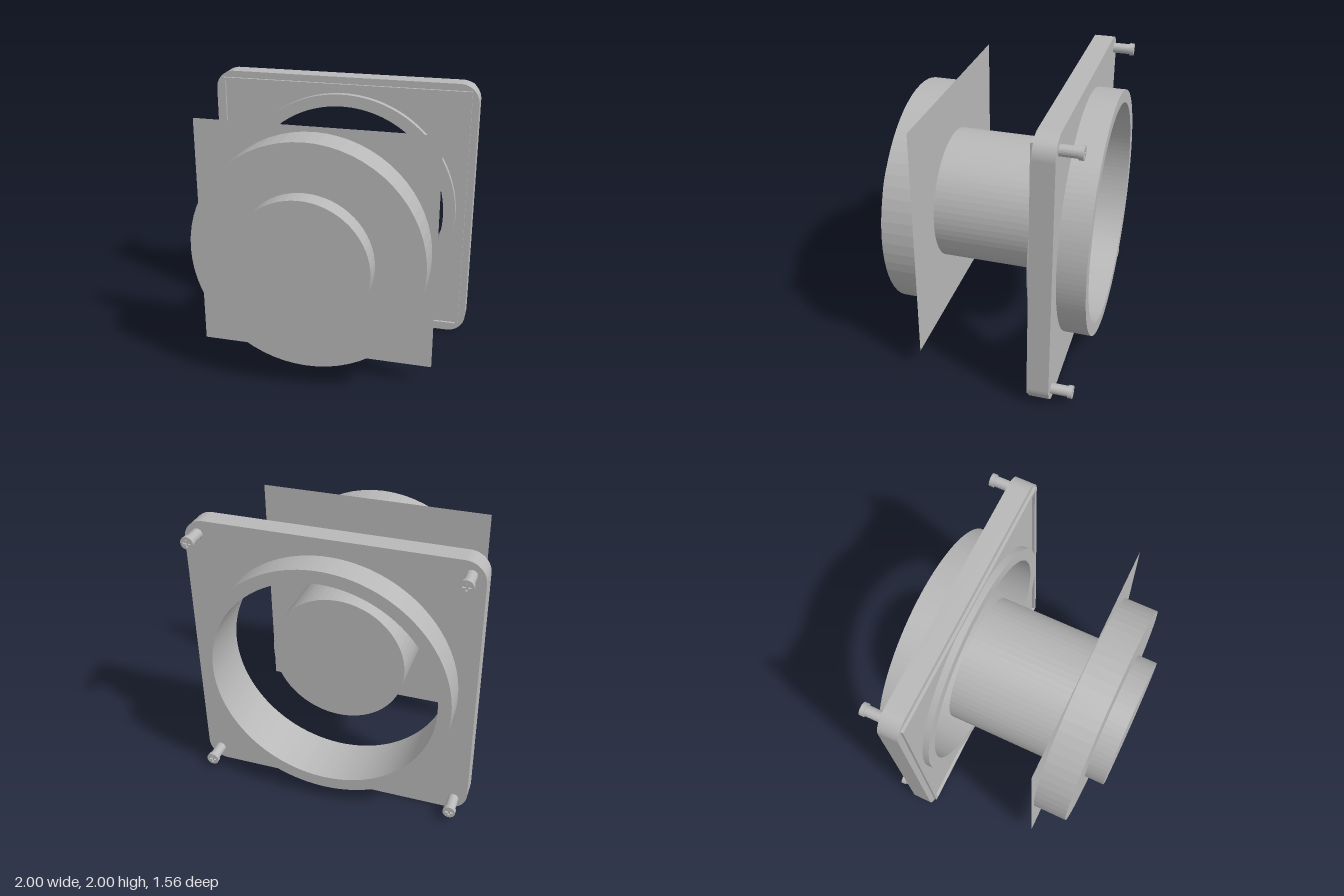
import * as THREE from 'three';

export function createModel() {
  const model = new THREE.Group();
  const grey = new THREE.MeshStandardMaterial({ color: 0xb8b8b8 });
  grey.name = 'grey';
  grey.flatShading = true;
  const sheet = new THREE.MeshStandardMaterial({ color: 0xb8b8b8, side: THREE.DoubleSide });
  sheet.name = 'grey sheet';

  const add = (name, geometry, x = 0, y = 1, z = 0, material = grey) => {
    const mesh = new THREE.Mesh(geometry, material);
    mesh.name = name;
    mesh.position.set(x, y, z);
    model.add(mesh);
    return mesh;
  };
  // Solid cylinder along z between two depths
  const rod = (name, r, z0, z1, x = 0, y = 1, sides = 64) =>
    add(name, new THREE.CylinderGeometry(r, r, z1 - z0, sides).rotateX(Math.PI / 2), x, y, (z0 + z1) / 2);
  // Extruded outline between two depths
  const slab = (name, shape, z0, z1, x = 0, y = 1) =>
    add(name, new THREE.ExtrudeGeometry(shape, { depth: z1 - z0, bevelEnabled: false, curveSegments: 64 }), x, y, z0);

  const circle = (r, Type = THREE.Shape) => new Type().absarc(0, 0, r, 0, Math.PI * 2, false);
  const square = (h, Type = THREE.Shape) => new Type([[-h, -h], [h, -h], [h, h], [-h, h]]
    .map(([x, y]) => new THREE.Vector2(x, y)));

  // Central barrel with its front collar and square backing sheet
  rod('barrel', 0.478, -0.44, 0.775);
  rod('collar', 0.82, 0.39, 0.632);
  add('backingSheet', new THREE.PlaneGeometry(1.705, 1.705), 0, 1.003, 0.388, sheet);

  // Rounded square flange
  const r = 0.14, flange = new THREE.Shape();
  [[1, 1, 0], [-1, 1, 1], [-1, -1, 2], [1, -1, 3]].forEach(([sx, sy, q]) =>
    flange.absarc(sx * (1 - r), sy * (1 - r), r, q * Math.PI / 2, (q + 1) * Math.PI / 2, false));
  flange.holes.push(circle(0.84, THREE.Path));
  slab('flange', flange, -0.585, -0.44);

  // Thin raised lip around the flange front
  const lip = square(0.95);
  lip.holes.push(square(0.925, THREE.Path));
  slab('flangeLip', lip, -0.44, -0.42);

  // Open ring passing through the flange
  const ring = circle(0.88);
  ring.holes.push(circle(0.79, THREE.Path));
  slab('ring', ring, -0.78, -0.392);

  // Corner screws with a cross recess in each head
  const a = 0.007, b = 0.027;
  const cross = new THREE.Path([[a, a], [a, b], [-a, b], [-a, a], [-b, a], [-b, -a],
    [-a, -a], [-a, -b], [a, -b], [a, -a], [b, -a], [b, a]].map(([x, y]) => new THREE.Vector2(x, y)));
  const head = circle(0.045);
  head.holes.push(cross);
  for (const sx of [-1, 1]) {
    for (const sy of [-1, 1]) {
      const x = sx * 0.905, y = 1 + sy * 0.905;
      rod('screwShaft', 0.037, -0.72, -0.58, x, y, 24);
      slab('screwHead', head, -0.735, -0.705, x, y);
    }
  }
  return model;
}
